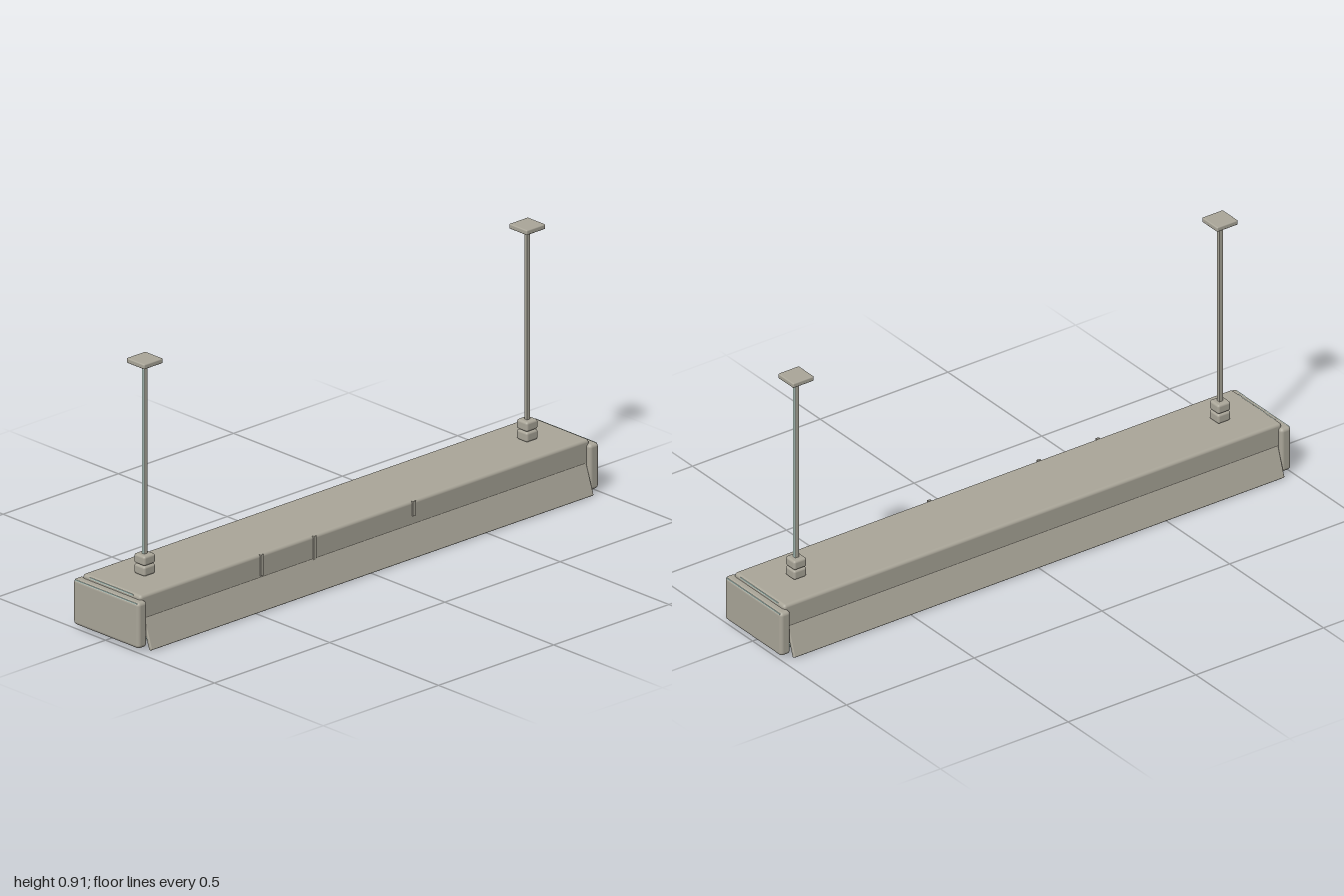
import * as THREE from 'three';
import { RoundedBoxGeometry } from 'three/addons/geometries/RoundedBoxGeometry.js';

const metal = new THREE.MeshStandardMaterial({ name: 'warm grey metal', color: 0xaaa699 });
const glass = new THREE.MeshStandardMaterial({ name: 'pale green glass', color: 0xc4ddd5 });

export function createModel() {
  const model = new THREE.Group();
  model.name = 'pendantLight';

  function add(name, geometry, material, x, y, z) {
    const mesh = new THREE.Mesh(geometry, material);
    mesh.name = name;
    mesh.position.set(x, y, z);
    model.add(mesh);
    return mesh;
  }
  const box = (w, h, d) => new THREE.BoxGeometry(w, h, d);
  const rounded = (w, h, d, r) => new RoundedBoxGeometry(w, h, d, 3, r);

  // Long housing with softened edges
  add('housing', rounded(1.95, 0.147, 0.268, 0.011), metal, 0, 0.1085, 0);

  // Recessed diffuser on the underside
  add('diffuser', box(1.93, 0.008, 0.272), glass, 0, 0.031, 0);

  // Flared skirts along both long sides
  const top = new THREE.Vector2(0.129, 0.1);
  const bottom = new THREE.Vector2(0.162, 0.006);
  const run = bottom.clone().sub(top);
  for (const side of [1, -1]) {
    const skirt = add(side > 0 ? 'frontSkirt' : 'backSkirt',
      rounded(1.92, run.length() + 0.008, 0.013, 0.004), metal,
      0, (top.y + bottom.y) / 2, side * (top.x + bottom.x) / 2);
    skirt.rotation.x = -side * Math.atan2(run.x, -run.y);
  }

  for (const side of [1, -1]) {
    const label = side > 0 ? 'left' : 'right';

    // End cap with pale trim lines along its upper edge and the housing end
    add(label + 'EndCap', rounded(0.04, 0.156, 0.302, 0.012), metal, side * 0.98, 0.09, 0);
    add(label + 'CapTrim', box(0.004, 0.004, 0.284), glass, side * 0.9965, 0.163, 0);
    add(label + 'HousingTrim', box(0.004, 0.004, 0.2), glass, side * 0.973, 0.176, 0);

    // Suspension: two stacked couplers, a square rod and a ceiling plate
    const x = side * 0.83;
    add(label + 'LowerCoupler', rounded(0.05, 0.034, 0.05, 0.008), metal, x, 0.199, 0);
    add(label + 'UpperCoupler', rounded(0.05, 0.033, 0.05, 0.008), metal, x, 0.234, 0);
    add(label + 'Rod', box(0.013, 0.66, 0.012), metal, x, 0.57, 0);
    add(label + 'CeilingPlate', rounded(0.082, 0.017, 0.082, 0.004), metal, x, 0.9045, 0);

    // Pale strip on the outward face of the rod
    add(label + 'RodStrip', box(0.001, 0.648, 0.01), glass, x + side * 0.0068, 0.574, 0);
  }

  // Small clips along the front face
  [[-0.45, 0.072], [-0.22, 0.08], [0.21, 0.05]].forEach(([x, height], i) => {
    add('clip' + (i + 1), box(0.012, height, 0.008), metal, x, 0.181 - height / 2, 0.134);
  });

  return model;
}
